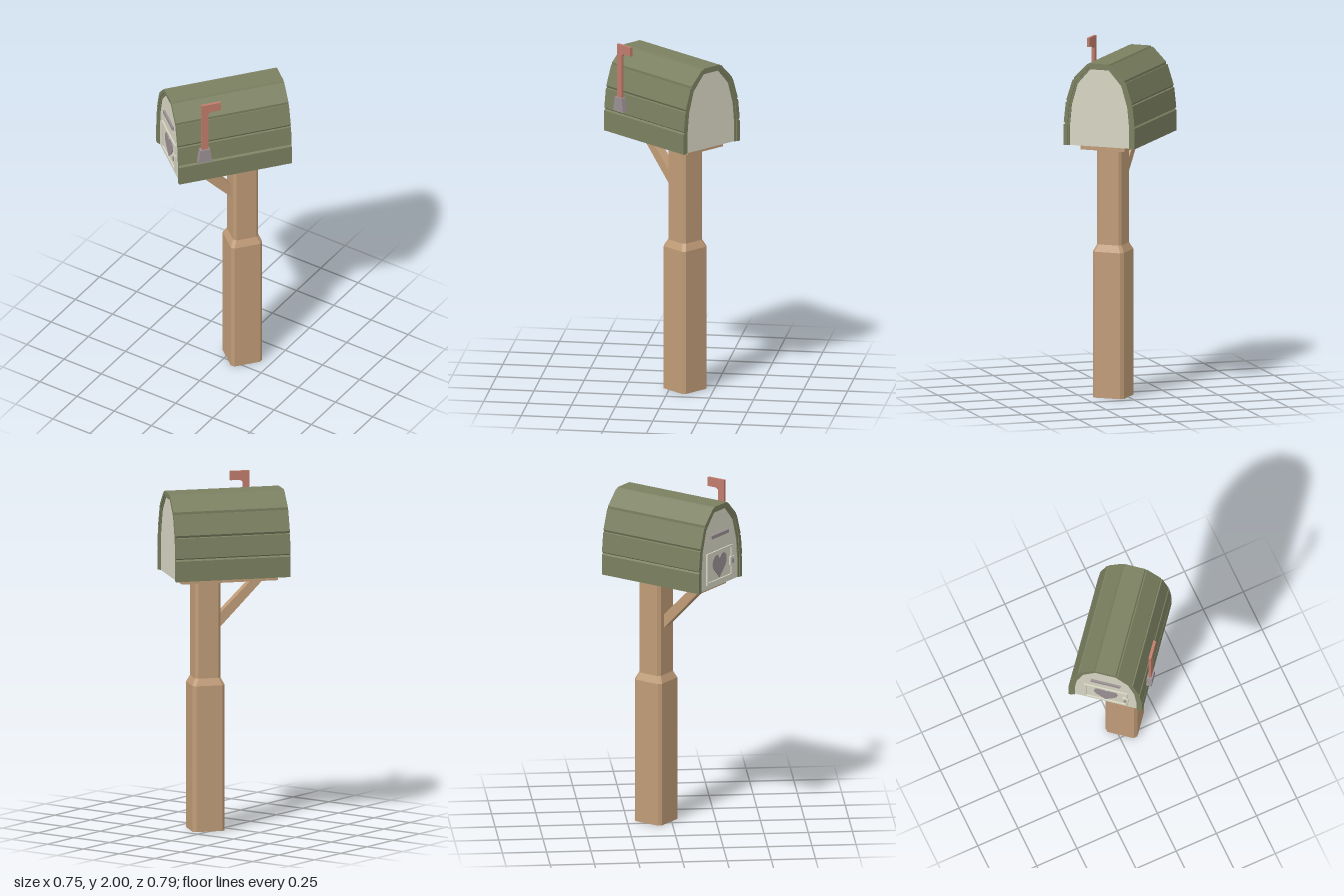
import * as THREE from 'three';

const mat = (name, color) => {
  const m = new THREE.MeshStandardMaterial({ color });
  m.name = name;
  return m;
};

export function createModel() {
  const green = mat('olive green', 0x7b8060);
  const cream = mat('cream', 0xd8d6c4);
  const wood = mat('wood', 0xc09c78);
  const metal = mat('grey metal', 0x9a9094);
  const red = mat('faded red', 0xc07c6c);

  const model = new THREE.Group();
  model.name = 'mailbox';
  const body = new THREE.Group();
  body.name = 'turnedBody';
  body.rotation.y = -0.688;
  model.add(body);

  const add = (name, geometry, material, x = 0, y = 0, z = 0) => {
    const mesh = new THREE.Mesh(geometry, material);
    mesh.name = name;
    mesh.position.set(x, y, z);
    body.add(mesh);
    return mesh;
  };
  const shapeOf = (pts) => new THREE.Shape(pts.map(([x, y]) => new THREE.Vector2(x, y)));
  const extrude = (shape, depth) =>
    new THREE.ExtrudeGeometry(shape, { depth, bevelEnabled: false, curveSegments: 6 });
  // Extrusion centred on z
  const slab = (shape, depth) => extrude(shape, depth).translate(0, 0, -depth / 2);
  // Profile in (z, y) given a thickness along x
  const sideSlab = (pts, width) =>
    slab(shapeOf(pts.map(([z, y]) => [-z, y])), width).rotateY(Math.PI / 2);

  // Post: chamfered square sections joined from the ground up
  const section = (h, c) => [
    [h - c, h], [h, h - c], [h, c - h], [h - c, -h],
    [c - h, -h], [-h, c - h], [-h, h - c], [c - h, h],
  ];
  const levels = [[0, 0.093, 0.017], [0.835, 0.093, 0.017], [0.875, 0.074, 0.015], [1.432, 0.074, 0.015]];
  const rings = levels.map(([y, h, c]) => section(h, c).map(([x, z]) => [x, y, z]));
  const tris = [];
  for (let r = 0; r < rings.length - 1; r++) {
    for (let i = 0; i < 8; i++) {
      const j = (i + 1) % 8;
      const a = rings[r][i], b = rings[r][j], c = rings[r + 1][j], d = rings[r + 1][i];
      tris.push(...a, ...b, ...c, ...a, ...c, ...d);
    }
  }
  const top = rings[rings.length - 1];
  for (let i = 1; i < 7; i++) {
    tris.push(...rings[0][0], ...rings[0][i + 1], ...rings[0][i]);
    tris.push(...top[0], ...top[i], ...top[i + 1]);
  }
  const postGeo = new THREE.BufferGeometry();
  postGeo.setAttribute('position', new THREE.Float32BufferAttribute(tris, 3));
  postGeo.computeVertexNormals();
  add('post', postGeo, wood, 0, 0, -0.109);

  // Support plank and diagonal brace
  add('plank', new THREE.BoxGeometry(0.266, 0.03, 0.558), wood, 0, 1.445, 0);
  add('brace', sideSlab([[-0.037, 1.15], [0.234, 1.432], [0.165, 1.432], [-0.037, 1.23]], 0.056), wood);

  // Faceted arch profile, from the lower right corner to the lower left
  const base = 1.46;
  const half = [[0.214, base], [0.214, 1.585], [0.2, 1.713], [0.158, 1.843], [0.067, 1.936]];
  const arch = [...half, ...half.slice().reverse().map(([x, y]) => [-x, y])];
  const inset = (t) => arch.map(([x, y]) => [x * (1 - t / 0.214), base + (y - base) * (1 - t / 0.476)]);

  // Outer arch with a V groove cut at every seam
  const toward = (p, q, d) => {
    const len = Math.hypot(q[0] - p[0], q[1] - p[1]);
    return [p[0] + ((q[0] - p[0]) * d) / len, p[1] + ((q[1] - p[1]) * d) / len];
  };
  const grooved = [];
  arch.forEach((p, i) => {
    if (i === 0 || i === arch.length - 1) grooved.push(p);
    else grooved.push(toward(p, arch[i - 1], 0.008), toward(p, [0, 1.6], 0.01), toward(p, arch[i + 1], 0.008));
  });
  add('shell', slab(shapeOf([...grooved, ...inset(0.022).reverse()]), 0.666), green);
  add('innerRim', slab(shapeOf([...inset(0.022), ...inset(0.035).reverse()]), 0.654), green);
  add('boxBody', slab(shapeOf(inset(0.035)), 0.644), cream);

  // Door details
  const face = 0.322;
  const rect = (w, b, t) => [[-w, b], [w, b], [w, t], [-w, t]];
  const frame = shapeOf(rect(0.127, 1.486, 1.67));
  frame.holes.push(new THREE.Path(rect(0.113, 1.499, 1.657).map(([x, y]) => new THREE.Vector2(x, y))));
  add('doorFrame', extrude(frame, 0.008), cream, 0, 0, face);

  const heart = new THREE.Shape();
  heart.moveTo(0, 1.508);
  heart.bezierCurveTo(0.025, 1.54, 0.068, 1.565, 0.068, 1.602);
  heart.bezierCurveTo(0.068, 1.65, 0.015, 1.66, 0, 1.618);
  heart.bezierCurveTo(-0.015, 1.66, -0.068, 1.65, -0.068, 1.602);
  heart.bezierCurveTo(-0.068, 1.565, -0.025, 1.54, 0, 1.508);
  add('heart', extrude(heart, 0.006), metal, 0, 0, face);

  add('doorHandle', new THREE.BoxGeometry(0.17, 0.02, 0.012), metal, 0, 1.76, face + 0.005);
  add('latchPlate', new THREE.BoxGeometry(0.036, 0.05, 0.012), cream, 0.117, 1.577, face + 0.006);
  add('latchKnob', new THREE.BoxGeometry(0.016, 0.024, 0.008), metal, 0.117, 1.577, face + 0.014);

  // Signal flag and its tapered bracket on the left side
  const flag = [[0.166, 1.61], [0.204, 1.61], [0.204, 2], [0.093, 2], [0.093, 1.948], [0.15, 1.948], [0.166, 1.935]];
  add('flag', sideSlab(flag, 0.016), red, 0.226);
  const bracket = [[0.145, 1.607], [0.227, 1.607], [0.214, 1.69], [0.158, 1.69]];
  add('flagBracket', sideSlab(bracket, 0.032), metal, 0.226);

  return model;
}
